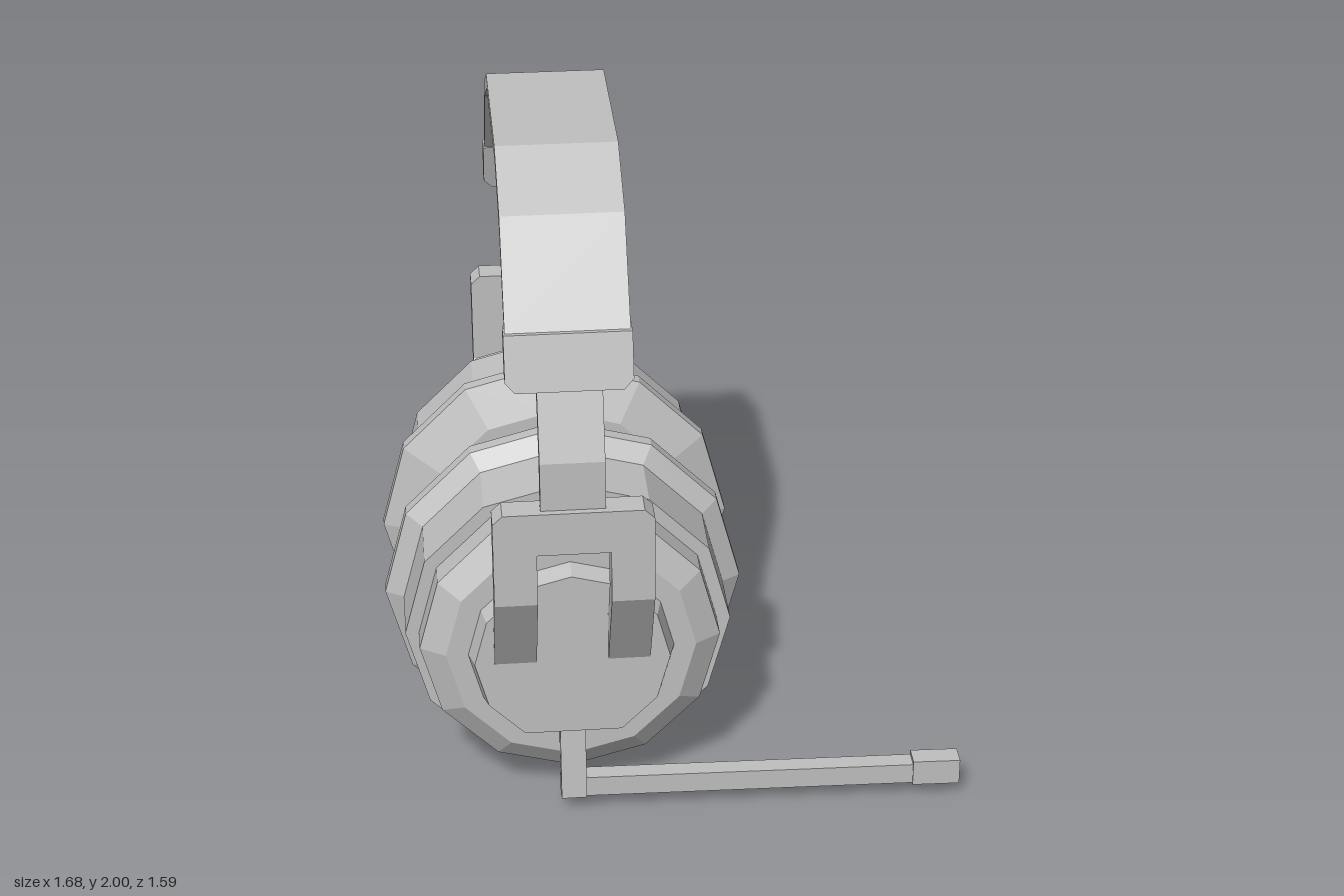
import * as THREE from 'three';

const grey = new THREE.MeshStandardMaterial({ color: 0xc0c0c0 });
grey.name = 'grey plastic';

// Faceted mesh with one normal per face
function part(name, geometry) {
  const flat = geometry.index ? geometry.toNonIndexed() : geometry;
  flat.computeVertexNormals();
  const mesh = new THREE.Mesh(flat, grey);
  mesh.name = name;
  return mesh;
}

const outline = (pts) => new THREE.Shape(pts.map(([a, b]) => new THREE.Vector2(a, b)));
const extrude = (pts, depth) =>
  new THREE.ExtrudeGeometry(outline(pts), { depth, bevelEnabled: false });

// Side profile of (z, y) points, given a width along x
function sideProfile(pts, width, x = 0) {
  return extrude(pts, width).translate(0, 0, -width / 2).rotateY(-Math.PI / 2).translate(x, 0, 0);
}

// Twelve-sided turned shape of (radius, z) points
function turned(pts) {
  return new THREE.LatheGeometry(pts.map(([r, z]) => new THREE.Vector2(r, z)), 12)
    .rotateX(Math.PI / 2).translate(0, 0.54, 0);
}

// One ear side, facing +z
function earSide() {
  const side = new THREE.Group();

  // Cushion with a shallow hollow for the ear
  side.add(part('earCushion', turned([
    [0, 0.17], [0.26, 0.17], [0.3, 0.12], [0.405, 0.12],
    [0.535, 0.177], [0.535, 0.218], [0.47, 0.26], [0, 0.26]])));
  side.add(part('earCup', turned([
    [0, 0.25], [0.48, 0.25], [0.48, 0.455], [0.44, 0.455], [0.44, 0.54], [0.365, 0.588], [0, 0.588]])));

  // Yoke: chamfered bridge and two bent prongs
  side.add(part('yokeBridge', extrude([
    [-0.226, 0.99], [0.226, 0.99], [0.226, 1.095], [0.198, 1.122],
    [-0.198, 1.122], [-0.226, 1.095]], 0.08).translate(0, 0, 0.715)));
  for (const s of [-1, 1]) {
    side.add(part('yokeProng', sideProfile([
      [0.715, 0.99], [0.715, 0.83], [0.534, 0.48], [0.614, 0.48], [0.795, 0.83], [0.795, 0.99]],
    0.122, s * 0.165)));
  }

  // Sliding arm between yoke and headband
  side.add(part('sliderArm', sideProfile([
    [0.735, 1.08], [0.775, 1.08], [0.775, 1.27], [0.692, 1.5], [0.652, 1.5], [0.735, 1.27]], 0.182)));

  // Headband end cuff, leaning inwards as it rises
  const cuff = extrude([
    [-0.15, 1.46], [0.15, 1.46], [0.177, 1.488], [0.177, 1.615], [-0.177, 1.615], [-0.177, 1.488]], 0.06);
  const p = cuff.attributes.position;
  for (let i = 0; i < p.count; i++) p.setZ(i, p.getZ(i) + 0.654 - (p.getY(i) - 1.46) * 0.3);
  side.add(part('headbandCuff', cuff));
  return side;
}

// Round cover plate with a flat lower edge
function coverPlate() {
  const g = new THREE.CylinderGeometry(0.284, 0.304, 0.07, 12).rotateX(Math.PI / 2);
  const p = g.attributes.position;
  for (let i = 0; i < p.count; i++) {
    const floor = -Math.cos(Math.PI / 6) * (p.getZ(i) > 0 ? 0.284 : 0.304);
    p.setY(i, Math.max(p.getY(i), floor));
  }
  return part('coverPlate', g.translate(0, 0.54, 0.61));
}

// Box whose z follows a straight slope along another axis
function slopedBox(name, w, h, d, x, y, z, axis, slope) {
  const g = new THREE.BoxGeometry(w, h, d);
  const p = g.attributes.position;
  for (let i = 0; i < p.count; i++) p.setZ(i, p.getZ(i) + slope * p.getComponent(i, axis));
  return part(name, g.translate(x, y, z));
}

export function createModel() {
  const model = new THREE.Group();
  model.name = 'headset';
  const body = new THREE.Group();
  body.name = 'headphones';
  body.position.x = -0.31;
  model.add(body);

  // Two matching ear sides
  ['frontEar', 'backEar'].forEach((name, i) => {
    const side = earSide();
    side.name = name;
    side.rotation.y = i * Math.PI;
    body.add(side);
  });

  // Headband arch
  const outer = [[0.665, 1.6], [0.48, 1.885], [0.265, 2]];
  const inner = [[0.255, 1.96], [0.46, 1.848], [0.627, 1.6]];
  const flip = (pts) => pts.map(([z, y]) => [-z, y]).reverse();
  body.add(part('headband', sideProfile([...outer, ...flip(outer), ...flip(inner), ...inner], 0.345)));

  // Cover plate and microphone on the front ear only
  body.add(coverPlate());
  const mic = new THREE.Group();
  mic.name = 'microphone';
  mic.add(
    slopedBox('micStem', 0.075, 0.25, 0.05, -0.312, 0.185, 0.618, 1, -0.1),
    slopedBox('micBoom', 1.06, 0.065, 0.055, 0.18, 0.09, 0.628, 0, 0.025),
    slopedBox('micTip', 0.14, 0.082, 0.062, 0.77, 0.094, 0.644, 0, 0.03));
  model.add(mic);
  return model;
}
